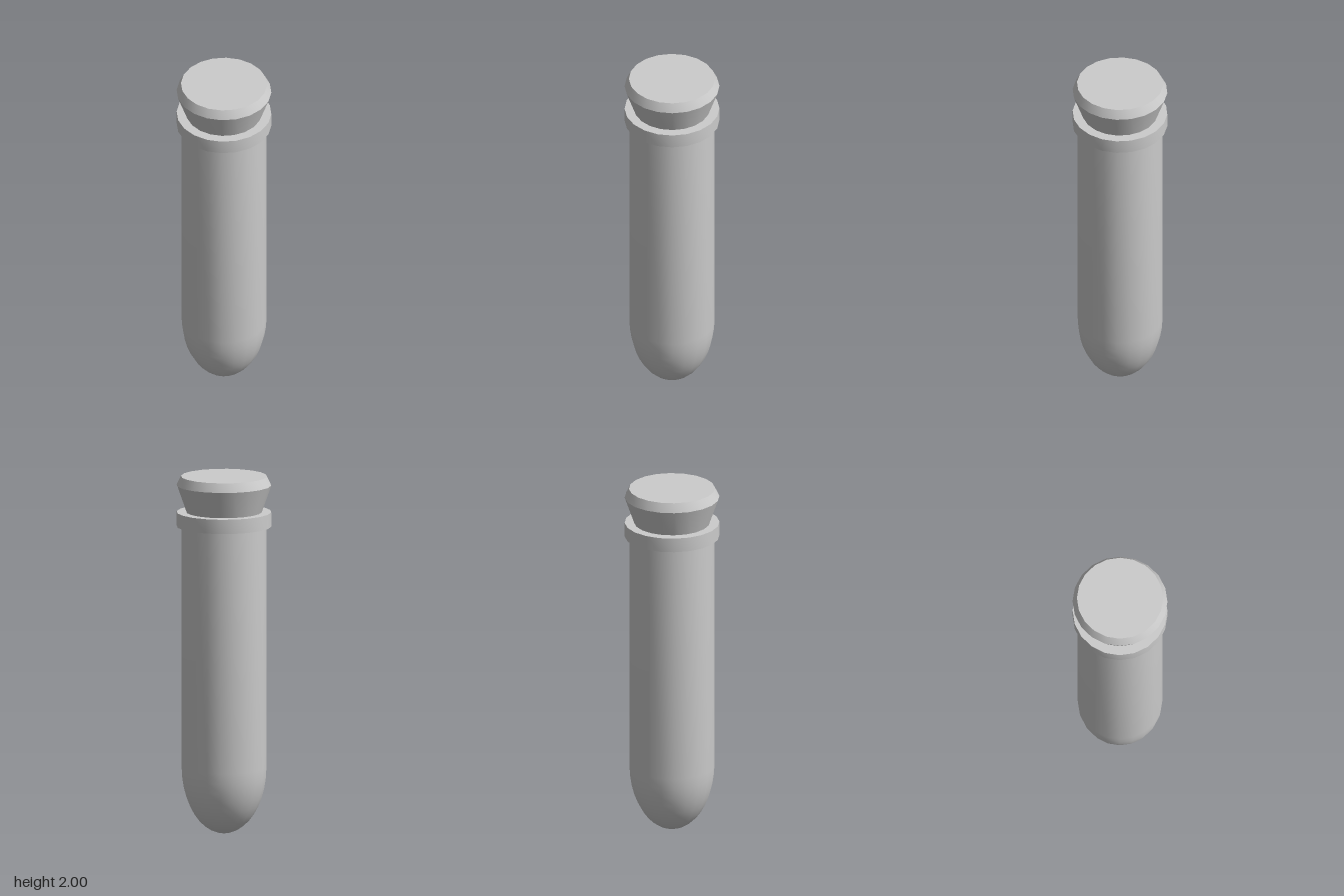
import * as THREE from 'three';
import { toCreasedNormals } from 'three/addons/utils/BufferGeometryUtils.js';

const SIDES = 20;
const material = new THREE.MeshStandardMaterial({ color: 0xcccccc });

// Turned part: profile of [radius, y] from the bottom up the outside
function turned(name, profile) {
  const points = profile.map(([r, y]) => new THREE.Vector2(r, y));
  const geometry = toCreasedNormals(new THREE.LatheGeometry(points, SIDES), 0.6);
  const mesh = new THREE.Mesh(geometry, material);
  mesh.name = name;
  return mesh;
}

// Rounded tube end as a quarter ellipse, from the pole up to the wall
function dome(radius, bottom, top, steps = 10) {
  return Array.from({ length: steps + 1 }, (_, i) => {
    const a = (i / steps) * Math.PI / 2;
    return [radius * Math.sin(a), top - (top - bottom) * Math.cos(a)];
  });
}

export function createModel() {
  const group = new THREE.Group();
  group.name = 'stopperedTube';

  // Hollow glass: outer wall, lip, then back down the inner wall
  group.add(turned('glassTube', [
    ...dome(0.235, 0, 0.37),
    [0.235, 1.72], [0.262, 1.72], [0.262, 1.8], [0.207, 1.8],
    ...dome(0.207, 0.03, 0.37).reverse(),
  ]));

  // Tapered stopper with a bevelled top, plugged into the mouth
  group.add(turned('stopper', [
    [0, 1.7], [0.174, 1.7], [0.262, 1.95], [0.238, 2], [0, 2],
  ]));

  return group;
}
